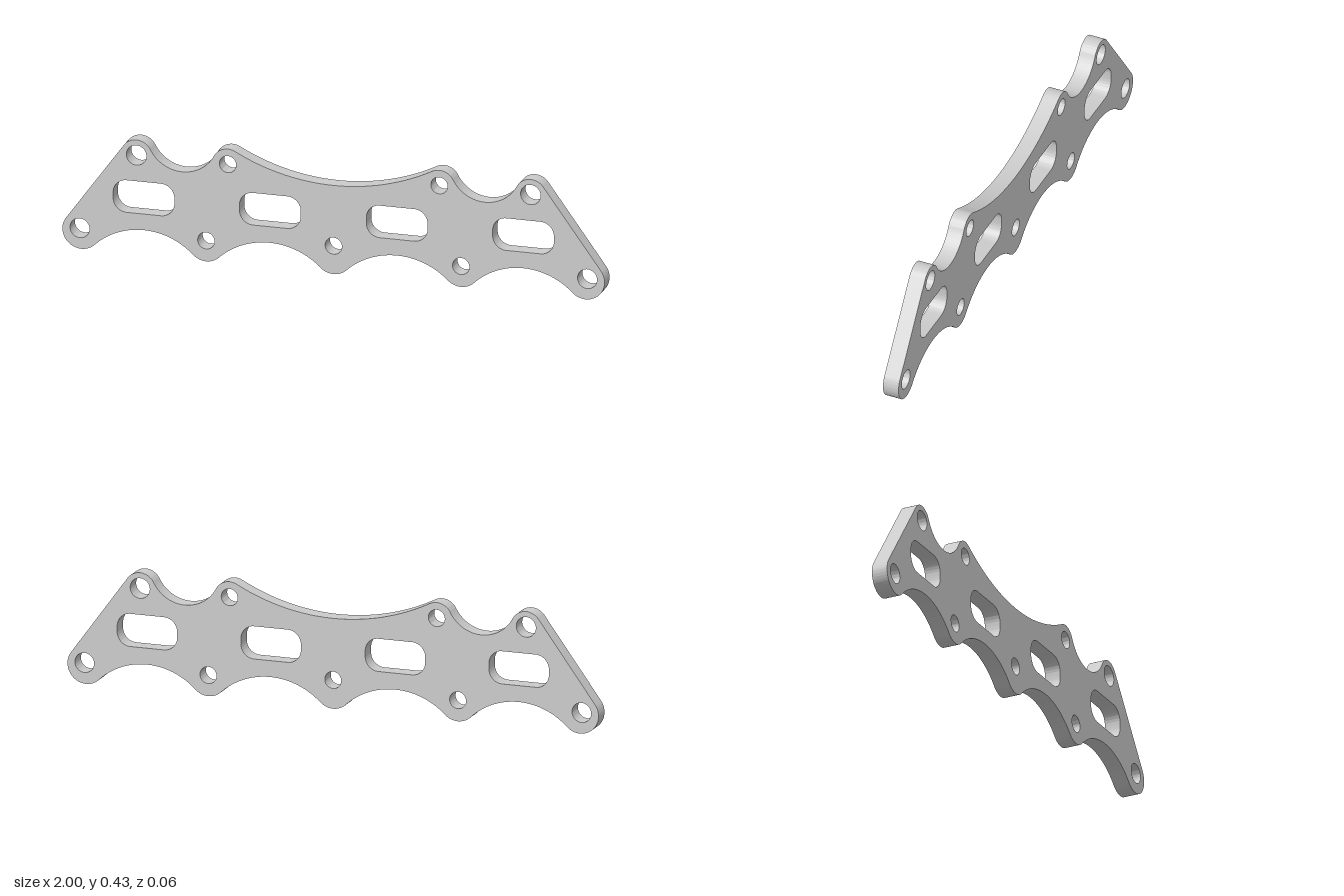
import * as THREE from 'three';
import { toCreasedNormals } from 'three/addons/utils/BufferGeometryUtils.js';

const DEPTH = 0.06;

// Rounded lobe of the outline
const lobe = (x, y, r) => ({ x, y, r, hollow: false });

// Hollow arc with its apex at (x, apexY), tangent to a neighbouring lobe.
// up = 1: the arc's centre is above the plate, -1: below it.
function hollow(x, apexY, n, up) {
  const dx = n.x - x, dy = up * (n.y - apexY);
  const r = (dx * dx + dy * dy - n.r * n.r) / (2 * (n.r + dy));
  return { x, y: apexY + up * r, r, hollow: true };
}

// Angles at which the outline leaves circle a and enters circle b
function joint(a, b) {
  const dir = Math.atan2(b.y - a.y, b.x - a.x);
  if (a.hollow !== b.hollow) return [dir, dir + Math.PI];
  const d = Math.hypot(b.x - a.x, b.y - a.y);
  const t = dir - Math.acos((a.r - b.r) / d);
  return [t, t];
}

// Closed outline of tangent arcs, counter-clockwise
function outline(circles) {
  const shape = new THREE.Shape();
  const n = circles.length;
  circles.forEach((c, i) => {
    const start = joint(circles[(i + n - 1) % n], c)[1];
    const end = joint(c, circles[(i + 1) % n])[0];
    if (i === 0) shape.moveTo(c.x + c.r * Math.cos(start), c.y + c.r * Math.sin(start));
    shape.absarc(c.x, c.y, c.r, start, end, c.hollow);
  });
  shape.closePath();
  return shape;
}

function roundHole(x, y, r) {
  const p = new THREE.Path();
  p.absarc(x, y, r, 0, Math.PI * 2, true);
  return p;
}

function slotHole(x, y, w, h, r) {
  const p = new THREE.Path();
  const a = w / 2 - r, b = h / 2 - r, q = Math.PI / 2;
  p.moveTo(x + a + r, y - b);
  [[a, b], [-a, b], [-a, -b], [a, -b]].forEach(([cx, cy], i) =>
    p.absarc(x + cx, y + cy, r, i * q, (i + 1) * q, false));
  p.closePath();
  return p;
}

export function createModel() {
  const group = new THREE.Group();
  group.name = 'flangePlate';

  // Lobes on the right half
  const end = lobe(0.93, 0.07, 0.07);
  const outerTop = lobe(0.727, 0.369, 0.058);
  const innerTop = lobe(0.39, 0.369, 0.058);
  const lower = lobe(0.47, 0.07, 0.07);
  const middle = lobe(0, 0.07, 0.07);
  const mirror = (c) => ({ ...c, x: -c.x });

  // Hollows between them
  const topSmall = hollow(0.5585, 0.325, outerTop, 1);
  const topLarge = hollow(0, 0.331, innerTop, 1);
  const lowOuter = hollow(0.70, 0.093, lower, -1);
  const lowInner = hollow(0.235, 0.093, lower, -1);

  const upperHalf = [end, outerTop, topSmall, innerTop];
  const lowerHalf = [middle, lowInner, lower, lowOuter];
  const shape = outline([
    ...upperHalf, topLarge, ...upperHalf.map(mirror).reverse(),
    ...lowerHalf.slice(1).map(mirror).reverse(), ...lowerHalf,
  ]);

  // Bolt holes and ports
  shape.holes.push(roundHole(0, 0.105, 0.031));
  for (const s of [-1, 1]) {
    shape.holes.push(
      roundHole(s * 0.936, 0.077, 0.036),
      roundHole(s * 0.47, 0.077, 0.031),
      roundHole(s * 0.39, 0.37, 0.031),
      roundHole(s * 0.727, 0.37, 0.037),
      slotHole(s * 0.70, 0.213, 0.226, 0.12, 0.05),
      slotHole(s * 0.234, 0.213, 0.226, 0.12, 0.05));
  }

  const extruded = new THREE.ExtrudeGeometry(shape, { depth: DEPTH, bevelEnabled: false, curveSegments: 28 });
  extruded.translate(0, 0, -DEPTH / 2);
  const plate = new THREE.Mesh(
    toCreasedNormals(extruded, Math.PI / 6),
    new THREE.MeshStandardMaterial({ color: 0xcccccc }));
  plate.name = 'plate';
  group.add(plate);
  return group;
}
